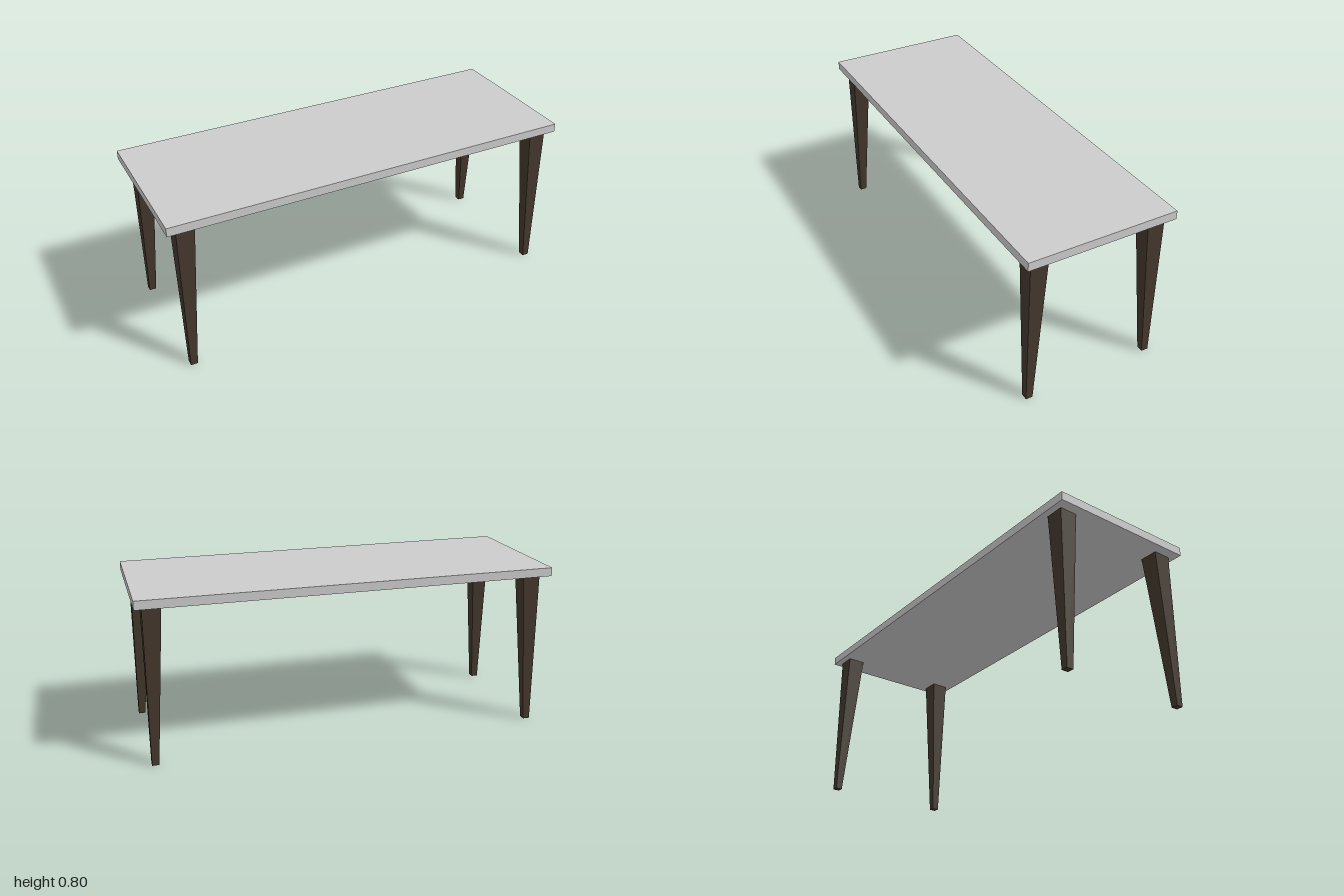
import * as THREE from 'three';

const TOP = 0.8, UNDERSIDE = 0.758;

// Square leg whose outer faces stay vertical while the inner faces taper in.
// The outer corner sits at the origin; the leg extends toward (dx, dz).
function taperedLeg(dx, dz, height, topWidth, footWidth) {
  const geometry = new THREE.BoxGeometry(1, height, 1).translate(0, height / 2, 0);
  const p = geometry.attributes.position;
  for (let i = 0; i < p.count; i++) {
    const width = p.getY(i) > height / 2 ? topWidth : footWidth;
    p.setX(i, (p.getX(i) + dx * 0.5) * width);
    p.setZ(i, (p.getZ(i) + dz * 0.5) * width);
  }
  geometry.computeVertexNormals();
  return geometry;
}

export function createModel() {
  const table = new THREE.Group();
  table.name = 'table';
  const topMaterial = new THREE.MeshStandardMaterial({ color: 0xcccccc });
  const legMaterial = new THREE.MeshStandardMaterial({ color: 0x43372d });

  // Tabletop slab
  const tabletop = new THREE.Mesh(new THREE.BoxGeometry(2, TOP - UNDERSIDE, 0.728), topMaterial);
  tabletop.name = 'tabletop';
  tabletop.position.y = (TOP + UNDERSIDE) / 2;
  table.add(tabletop);

  // Four legs, set slightly toward +x under the top
  for (const sx of [-1, 1]) {
    for (const sz of [-1, 1]) {
      const leg = new THREE.Mesh(taperedLeg(-sx, -sz, UNDERSIDE, 0.087, 0.033), legMaterial);
      leg.name = (sz > 0 ? 'front' : 'back') + (sx > 0 ? 'Left' : 'Right') + 'Leg';
      leg.position.set(sx * 0.959 + 0.006, 0, sz * 0.331);
      table.add(leg);
    }
  }
  return table;
}
